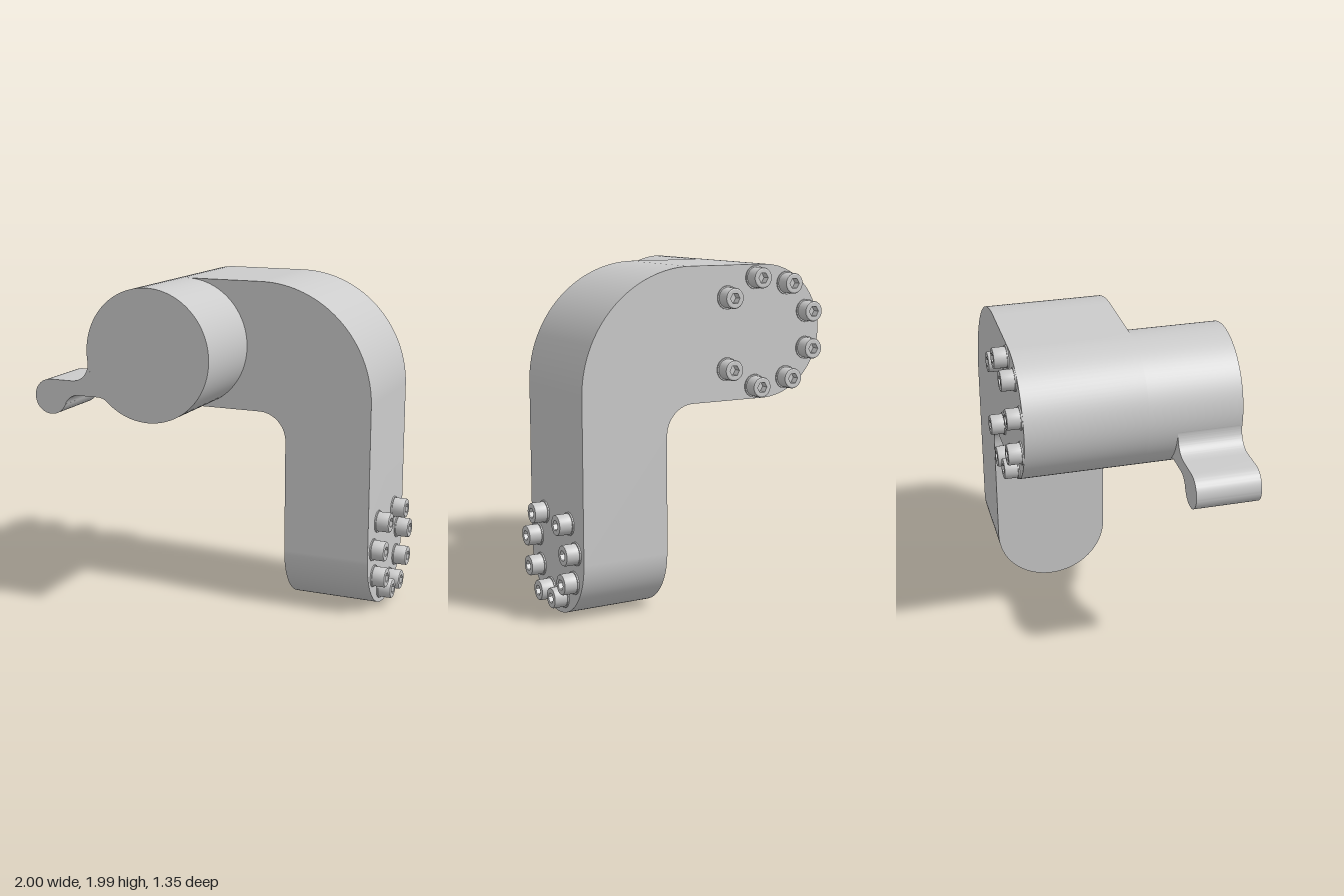
import * as THREE from 'three';
import { toCreasedNormals } from 'three/addons/utils/BufferGeometryUtils.js';

const material = new THREE.MeshStandardMaterial({ color: 0xcccccc });
const rad = THREE.MathUtils.degToRad;

// Hub axis and foot axis
const HUB = { x: -0.255, y: 1.6, r: 0.39 };
const FOOT = { y: 0.355, z: -0.235, r: 0.355 };
const BACK = -0.59, ARM_FRONT = 0.12, FRONT = 0.67;
const INNER = 0.385, OUTER = 0.915;

function addMesh(parent, name, geometry) {
  const mesh = new THREE.Mesh(geometry, material);
  mesh.name = name;
  parent.add(mesh);
  return mesh;
}

// Extrude a profile between two z planes, smooth on curves, sharp at edges
function slab(shape, z0, z1) {
  const g = new THREE.ExtrudeGeometry(shape, { depth: z1 - z0, bevelEnabled: false, curveSegments: 24 });
  g.translate(0, 0, z0);
  return toCreasedNormals(g, 0.5);
}

function elbowShape() {
  const s = new THREE.Shape();
  s.moveTo(INNER, FOOT.y);
  s.lineTo(OUTER, FOOT.y);
  s.lineTo(OUTER, 1.3);
  s.absarc(OUTER - 0.69, 1.3, 0.69, 0, rad(90), false);
  s.lineTo(HUB.x, HUB.y + HUB.r);
  s.absarc(HUB.x, HUB.y, HUB.r, rad(90), rad(270), false);
  s.lineTo(INNER - 0.17, HUB.y - HUB.r);
  s.absarc(INNER - 0.17, 1.04, 0.17, rad(90), 0, true);
  s.closePath();
  return s;
}

// Knob and neck, blended into the hub by fillets
function leverShape() {
  const s = new THREE.Shape();
  s.absarc(-0.75, 1.53, 0.11, rad(8), rad(-90), true);
  s.absarc(-0.895, 1.315, 0.105, rad(90), rad(338), false);
  s.absarc(-0.71, 1.24, 0.095, rad(158), rad(90), true);
  s.absarc(-0.58, 1.235, 0.1, rad(90), rad(48.3), true);
  s.absarc(HUB.x, HUB.y, HUB.r, rad(228.3), rad(188), true);
  s.closePath();
  return s;
}

// Socket-head bolt pointing along +z, seated at z = 0
function createBolt() {
  const bolt = new THREE.Group();
  bolt.name = 'bolt';
  const height = 0.085, rim = 0.05, hexR = 0.032, depth = 0.045;

  const profile = [[0.068, 0], [0.068, 0.008], [0.06, 0.008], [0.06, 0.077], [0.057, 0.083], [rim, height]]
    .map(([r, y]) => new THREE.Vector2(r, y));
  const head = new THREE.LatheGeometry(profile, 32).rotateX(Math.PI / 2);
  addMesh(bolt, 'boltHead', toCreasedNormals(head, 0.6));

  const hex = Array.from({ length: 6 }, (_, i) =>
    new THREE.Vector2(hexR * Math.cos(i * Math.PI / 3), hexR * Math.sin(i * Math.PI / 3)));
  const top = new THREE.Shape().absarc(0, 0, rim, 0, Math.PI * 2, false);
  top.holes.push(new THREE.Path(hex));
  addMesh(bolt, 'boltTop', new THREE.ShapeGeometry(top, 16).translate(0, 0, height));

  // Mirroring the tube turns its faces inward
  const wall = new THREE.CylinderGeometry(hexR, hexR, depth, 6, 1, true)
    .rotateX(Math.PI / 2).rotateZ(Math.PI / 2);
  const index = wall.index.array;
  for (let i = 0; i < index.length; i += 3) [index[i], index[i + 1]] = [index[i + 1], index[i]];
  wall.translate(0, 0, height - depth / 2);
  addMesh(bolt, 'socketWall', toCreasedNormals(wall, 0.5));
  addMesh(bolt, 'socketFloor', new THREE.ShapeGeometry(new THREE.Shape(hex)).translate(0, 0, height - depth));
  return bolt;
}

// Eight bolts at 40 degree steps, leaving a gap at one angle
function boltRing(name, radius, gapAngle) {
  const ring = new THREE.Group();
  ring.name = name;
  const bolt = createBolt();
  for (let i = 1; i <= 8; i++) {
    const a = rad(gapAngle + i * 40);
    const copy = bolt.clone();
    copy.position.set(radius * Math.cos(a), radius * Math.sin(a), 0);
    ring.add(copy);
  }
  return ring;
}

export function createModel() {
  const model = new THREE.Group();
  model.name = 'elbowBracket';

  addMesh(model, 'elbowArm', slab(elbowShape(), BACK, ARM_FRONT));

  // Rounded lower end of the arm
  const foot = new THREE.CylinderGeometry(FOOT.r, FOOT.r, OUTER - INNER, 48, 1, false, Math.PI, Math.PI);
  foot.rotateZ(Math.PI / 2).translate((INNER + OUTER) / 2, FOOT.y, FOOT.z);
  addMesh(model, 'roundedFoot', foot);

  // Round hub projecting forward, with its lever
  const hub = new THREE.CylinderGeometry(HUB.r, HUB.r, FRONT - ARM_FRONT, 96);
  hub.rotateX(Math.PI / 2).translate(HUB.x, HUB.y, (FRONT + ARM_FRONT) / 2);
  addMesh(model, 'hub', hub);
  addMesh(model, 'lever', slab(leverShape(), 0.29, FRONT));

  // Bolt circles on the side of the foot and the back of the hub
  const sideBolts = boltRing('sideBolts', 0.26, 90);
  sideBolts.position.set(OUTER, FOOT.y, FOOT.z);
  sideBolts.rotation.y = Math.PI / 2;
  const backBolts = boltRing('backBolts', 0.32, 180);
  backBolts.position.set(HUB.x, HUB.y, BACK);
  backBolts.rotation.y = Math.PI;
  model.add(sideBolts, backBolts);

  return model;
}
